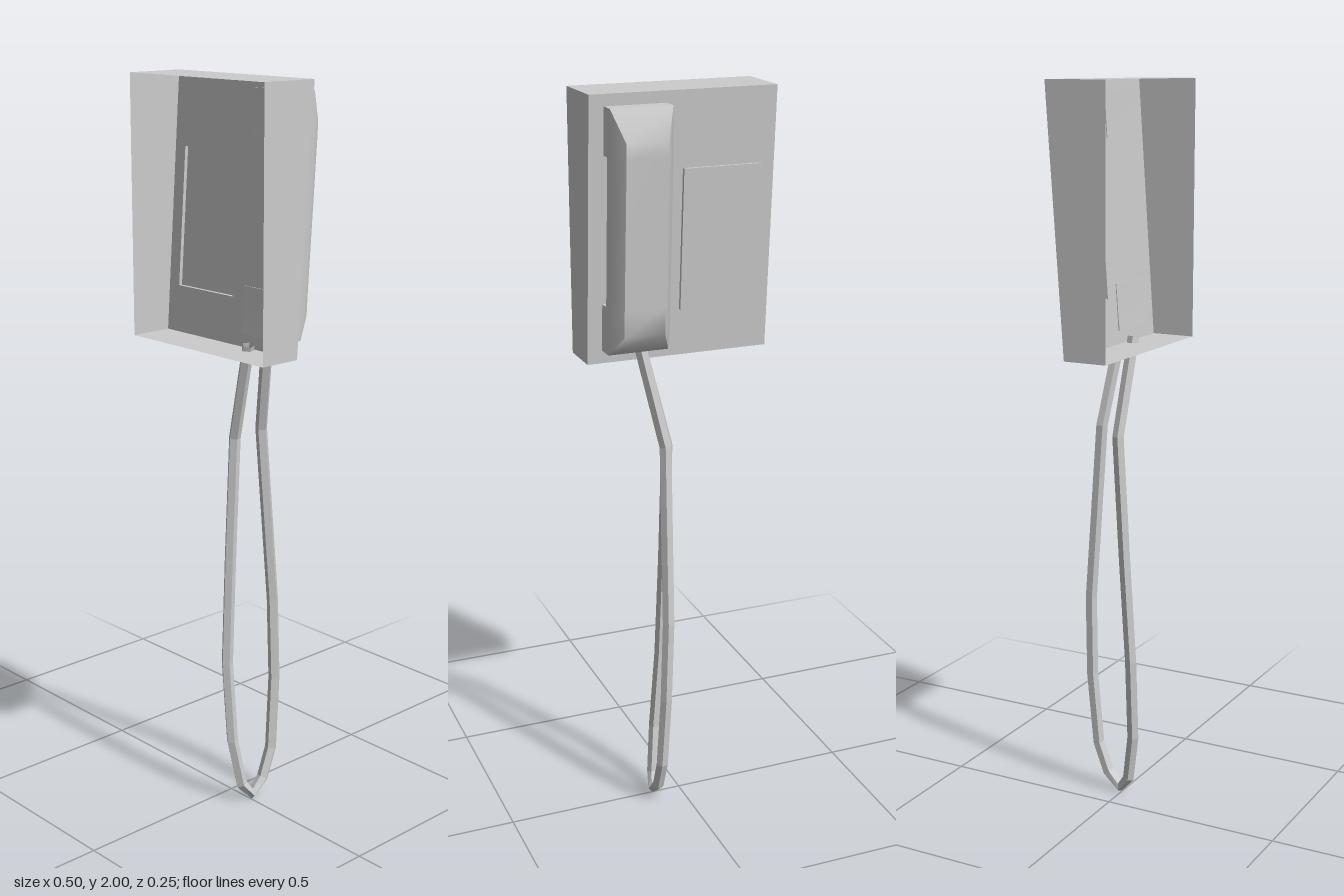
import * as THREE from 'three';
import { toCreasedNormals } from 'three/addons/utils/BufferGeometryUtils.js';

// Skin a list of equally sized closed rings; caps are optional fans.
function loft(rings, capStart, capEnd) {
  const pos = [];
  const tri = (a, b, c) => {
    const n = new THREE.Vector3().subVectors(b, a).cross(new THREE.Vector3().subVectors(c, a));
    if (n.length() > 1e-9) pos.push(...a.toArray(), ...b.toArray(), ...c.toArray());
  };
  for (let i = 0; i < rings.length - 1; i++) {
    const p = rings[i], q = rings[i + 1];
    p.forEach((a, j) => {
      const k = (j + 1) % p.length;
      tri(a, p[k], q[k]);
      tri(a, q[k], q[j]);
    });
  }
  const first = rings[0], last = rings[rings.length - 1];
  for (let j = 1; j < first.length - 1; j++) {
    if (capStart) tri(first[0], first[j + 1], first[j]);
    if (capEnd) tri(last[0], last[j], last[j + 1]);
  }
  const g = new THREE.BufferGeometry();
  g.setAttribute('position', new THREE.Float32BufferAttribute(pos, 3));
  g.computeVertexNormals();
  return g;
}

// Straight-segment path, sampled exactly at its corners.
class Polyline extends THREE.Curve {
  constructor(points) {
    super();
    this.points = points.map((p) => new THREE.Vector3(...p));
  }
  getPoint(t) {
    const n = this.points.length - 1;
    const i = Math.min(Math.floor(t * n + 1e-6), n - 1);
    return this.points[i].clone().lerp(this.points[i + 1], t * n - i);
  }
  getPointAt(t) { return this.getPoint(t); }
  getTangentAt(t) {
    const n = this.points.length - 1, i = Math.round(t * n), p = this.points;
    const dir = new THREE.Vector3();
    if (i > 0) dir.add(p[i].clone().sub(p[i - 1]).normalize());
    if (i < n) dir.add(p[i + 1].clone().sub(p[i]).normalize());
    return dir.normalize();
  }
}

export function createModel() {
  const model = new THREE.Group();
  const add = (name, geometry, options) => {
    const mesh = new THREE.Mesh(geometry, new THREE.MeshStandardMaterial({ color: 0xcccccc, ...options }));
    mesh.name = name;
    model.add(mesh);
  };

  // Housing: open on +z, sloping rear wall with a raised panel
  const yLow = 1.31, yHigh = 2;
  const rearZ = (y) => THREE.MathUtils.mapLinear(y, yLow, yHigh, 0.006, -0.043);
  const rect = (x0, x1, y0, y1, z) =>
    [[x0, y0], [x0, y1], [x1, y1], [x1, y0]].map(([x, y]) => new THREE.Vector3(x, y, z(y)));
  add('housing', loft([
    rect(-0.25, 0.25, yLow, yHigh, () => 0.125),
    rect(-0.25, 0.25, yLow, yHigh, rearZ),
    rect(-0.212, 0, 1.435, 1.805, rearZ),
    rect(-0.212, 0, 1.435, 1.805, (y) => rearZ(y) - 0.01),
  ], false, true), { flatShading: true, side: THREE.DoubleSide });

  // Handset: stations from top to bottom as y, inner z, shoulder z, outer z, bevel inset
  const stations = [
    [1.97, -0.038, -0.084, -0.084, 0],
    [1.89, -0.033, -0.086, -0.125, 0.027],
    [1.85, -0.03, -0.084, -0.123, 0.027],
    [1.85, -0.06, -0.084, -0.123, 0.027],
    [1.47, -0.035, -0.06, -0.097, 0.027],
    [1.47, -0.003, -0.06, -0.097, 0.027],
    [1.40, 0.002, -0.055, -0.093, 0.027],
    [1.345, 0.007, -0.045, -0.045, 0],
  ];
  const x0 = 0.047, x1 = 0.211;
  const sections = stations.map(([y, inner, shoulder, outer, inset]) => [
    [x0, inner], [x0, shoulder], [x0 + inset, outer],
    [x1 - inset, outer], [x1, shoulder], [x1, inner],
  ].map(([x, z]) => new THREE.Vector3(x, y, z)));
  add('handset', toCreasedNormals(loft(sections, true, true), 0.9));

  // Hanging cord loop from the housing to the handset
  const cord = new Polyline([
    [0.092, 1.325, 0.026], [0.027, 1.06, 0.014], [0.03, 0.72, 0.033], [0.036, 0.42, 0.05],
    [0.055, 0.19, 0.048], [0.07, 0.055, 0.026], [0.078, 0.018, -0.004],
    [0.081, 0.055, -0.045], [0.081, 0.14, -0.077], [0.075, 0.35, -0.094],
    [0.067, 0.58, -0.093], [0.059, 1.08, -0.054], [0.115, 1.35, -0.022],
  ]);
  add('cord', new THREE.TubeGeometry(cord, cord.points.length - 1, 0.0165, 5, false),
    { flatShading: true, side: THREE.DoubleSide });

  return model;
}
